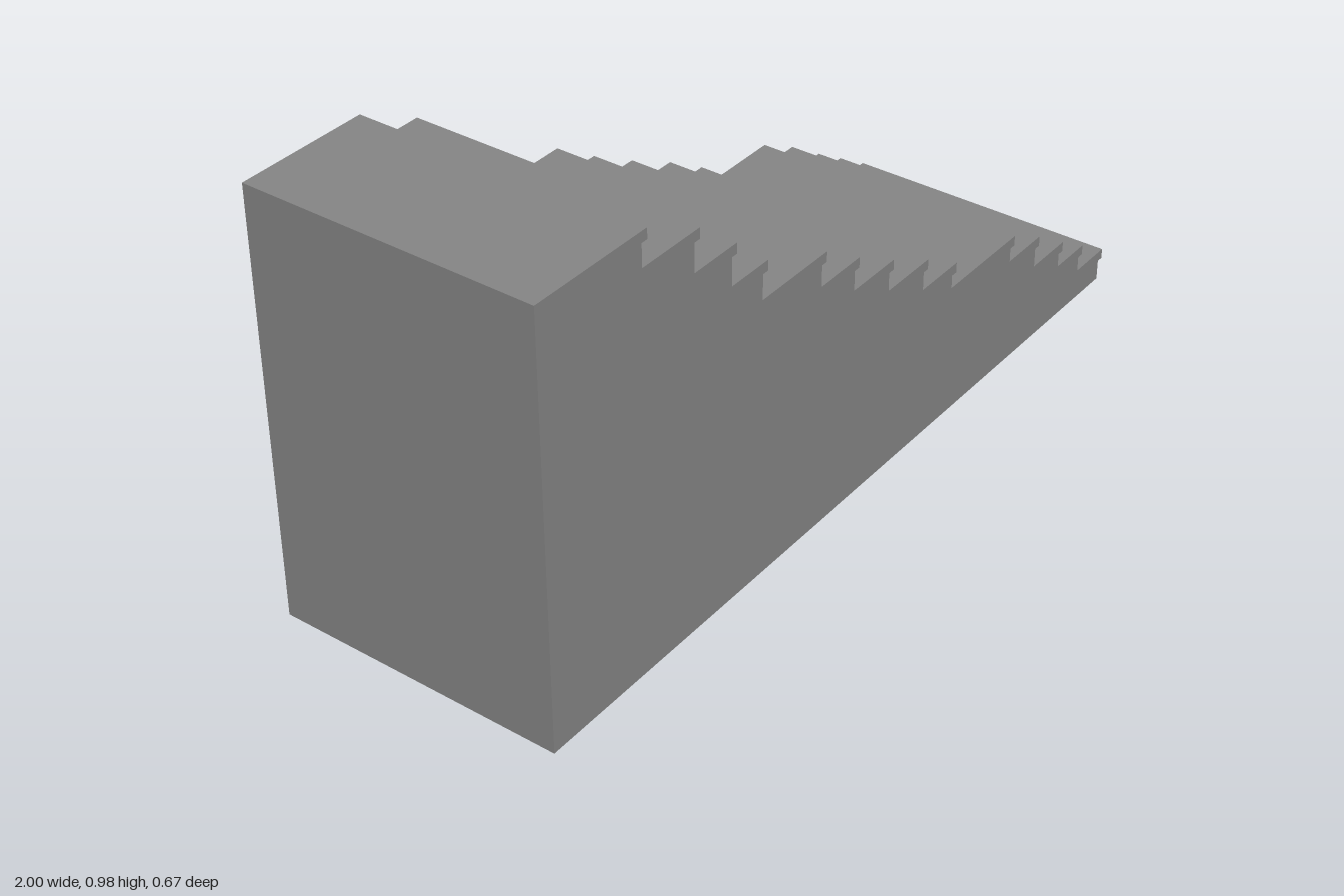
import * as THREE from 'three';

const HALF_WIDTH = 0.333; // half the stair width, along z
const LIP = 0.024;        // thickness of each tread nosing
const OVERHANG = 0.016;   // how far the nosing projects past the riser

// Each step, bottom to top: [nosing x, tread height]
const STEPS = [
  [1.0, 0.072], [0.902, 0.132], [0.807, 0.189], [0.697, 0.259], [0.586, 0.316],
  [0.346, 0.371], [0.232, 0.438], [0.1, 0.505], [-0.026, 0.575], [-0.143, 0.648],
  [-0.338, 0.729], [-0.435, 0.816], [-0.547, 0.904], [-0.697, 0.979],
];

export function createModel() {
  const group = new THREE.Group();
  group.name = 'staircase';

  // Side profile: base, then riser, underside of nosing, nosing face and tread per step
  const profile = new THREE.Shape();
  profile.moveTo(-1, 0);
  let floor = 0;
  for (const [x, y] of STEPS) {
    profile.lineTo(x - OVERHANG, floor);
    profile.lineTo(x - OVERHANG, y - LIP);
    profile.lineTo(x, y - LIP);
    profile.lineTo(x, y);
    floor = y;
  }
  profile.lineTo(-1, floor);
  profile.closePath();

  const geometry = new THREE.ExtrudeGeometry(profile, { depth: HALF_WIDTH * 2, bevelEnabled: false });
  geometry.translate(0, 0, -HALF_WIDTH);

  const stairs = new THREE.Mesh(
    geometry,
    new THREE.MeshStandardMaterial({ color: 0x878787, flatShading: true }),
  );
  stairs.name = 'solidStairs';
  group.add(stairs);
  return group;
}
